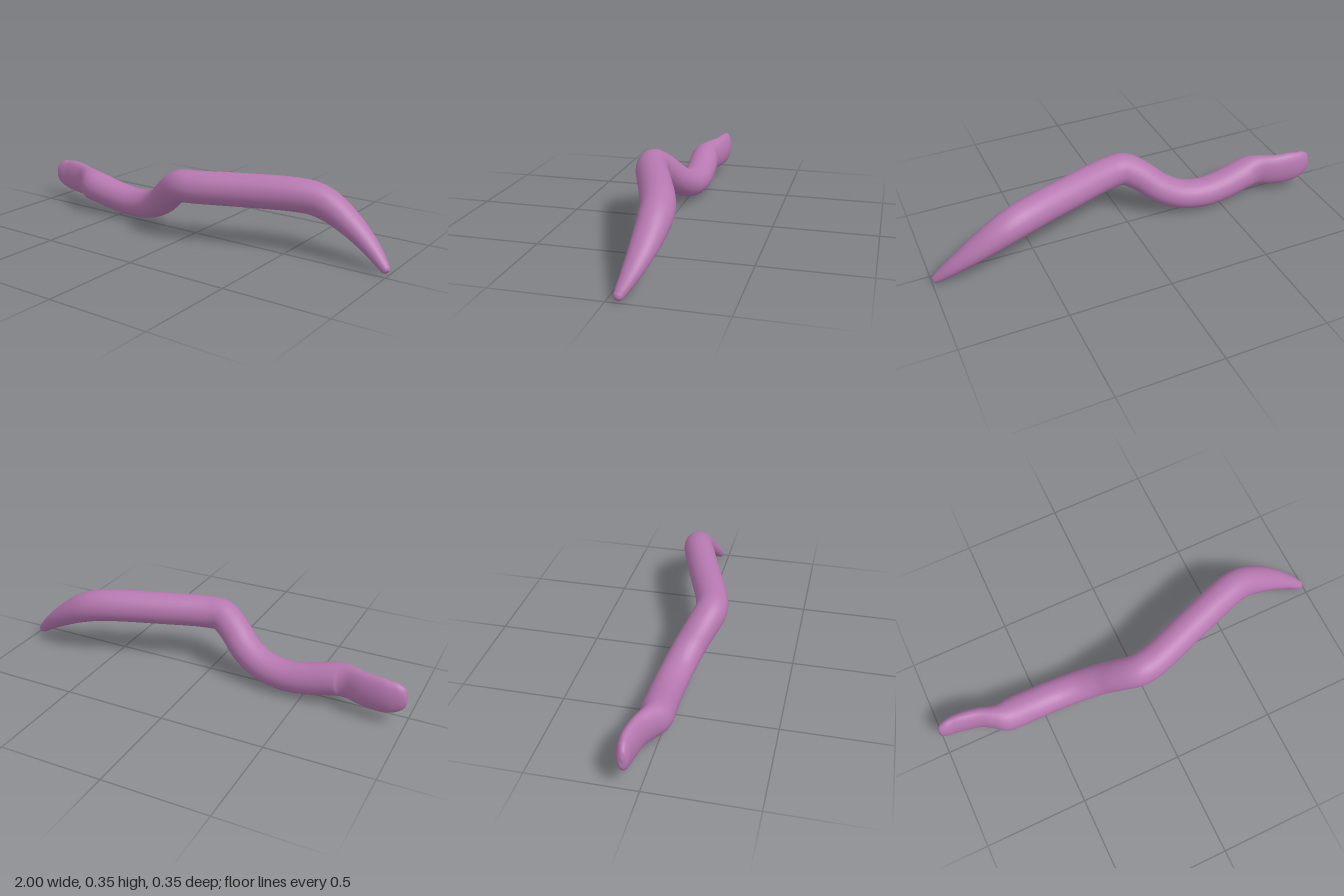
import * as THREE from 'three';

// Stations along the body: x, y, z, vertical radius, sideways radius
const STATIONS = [
  [-0.997, 0.172, -0.068, 0.004, 0.002],
  [-0.990, 0.171, -0.069, 0.040, 0.018],
  [-0.965, 0.164, -0.073, 0.066, 0.029],
  [-0.92, 0.153, -0.077, 0.080, 0.036],
  [-0.87, 0.150, -0.073, 0.085, 0.040],
  [-0.79, 0.148, -0.057, 0.084, 0.043],
  [-0.73, 0.147, -0.030, 0.083, 0.052],
  [-0.68, 0.143, -0.013, 0.081, 0.072],
  [-0.63, 0.134, -0.015, 0.078, 0.077],
  [-0.52, 0.109, -0.022, 0.076, 0.077],
  [-0.40, 0.097, -0.022, 0.073, 0.077],
  [-0.28, 0.115, -0.007, 0.072, 0.077],
  [-0.18, 0.165, 0.022, 0.073, 0.077],
  [-0.10, 0.230, 0.062, 0.075, 0.077],
  [-0.02, 0.275, 0.092, 0.079, 0.078],
  [0.06, 0.281, 0.083, 0.079, 0.078],
  [0.30, 0.286, 0.000, 0.080, 0.078],
  [0.50, 0.286, -0.070, 0.080, 0.078],
  [0.60, 0.275, -0.100, 0.078, 0.076],
  [0.68, 0.245, -0.107, 0.071, 0.073],
  [0.80, 0.175, -0.098, 0.053, 0.061],
  [0.90, 0.103, -0.076, 0.037, 0.043],
  [0.965, 0.048, -0.053, 0.025, 0.027],
  [0.982, 0.033, -0.046, 0.020, 0.021],
  [0.989, 0.027, -0.043, 0.012, 0.012],
  [0.990, 0.026, -0.0425, 0.001, 0.001],
];

// Loft of elliptical rings along the station curve
function loftBody(stations, rings, sides) {
  const path = new THREE.CatmullRomCurve3(stations.map(s => new THREE.Vector3(s[0], s[1], s[2])));
  const radii = new THREE.CatmullRomCurve3(
    stations.map(s => new THREE.Vector3(s[3], s[4], 0)), false, 'catmullrom', 0.5);
  const up = new THREE.Vector3(0, 1, 0);
  const pos = [], index = [];
  for (let i = 0; i <= rings; i++) {
    const t = i / rings;
    const c = path.getPoint(t), r = radii.getPoint(t);
    const tangent = path.getPoint(Math.min(1, t + 0.012))
      .sub(path.getPoint(Math.max(0, t - 0.012))).normalize();
    const side = tangent.clone().cross(up).normalize();
    const top = side.clone().cross(tangent);
    for (let j = 0; j < sides; j++) {
      const a = (j / sides) * Math.PI * 2;
      const p = c.clone()
        .addScaledVector(top, Math.max(0.001, r.x) * Math.cos(a))
        .addScaledVector(side, Math.max(0.001, r.y) * Math.sin(a));
      pos.push(p.x, p.y, p.z);
      if (i < rings) {
        const k = (j + 1) % sides;
        const p0 = i * sides + j, p1 = i * sides + k;
        index.push(p0, p1, p0 + sides, p1, p1 + sides, p0 + sides);
      }
    }
  }
  // Close both ends
  const last = rings * sides;
  for (let j = 1; j < sides - 1; j++) {
    index.push(0, j + 1, j, last, last + j, last + j + 1);
  }
  const geo = new THREE.BufferGeometry();
  geo.setAttribute('position', new THREE.Float32BufferAttribute(pos, 3));
  geo.setIndex(index);
  geo.computeVertexNormals();
  return geo;
}

export function createModel() {
  const group = new THREE.Group();
  group.name = 'worm';

  // Winding body with flattened tail and pointed head
  const body = new THREE.Mesh(
    loftBody(STATIONS, (STATIONS.length - 1) * 4, 28),
    new THREE.MeshStandardMaterial({ color: 0xb678b0 }));
  body.name = 'wormBody';
  group.add(body);
  return group;
}
